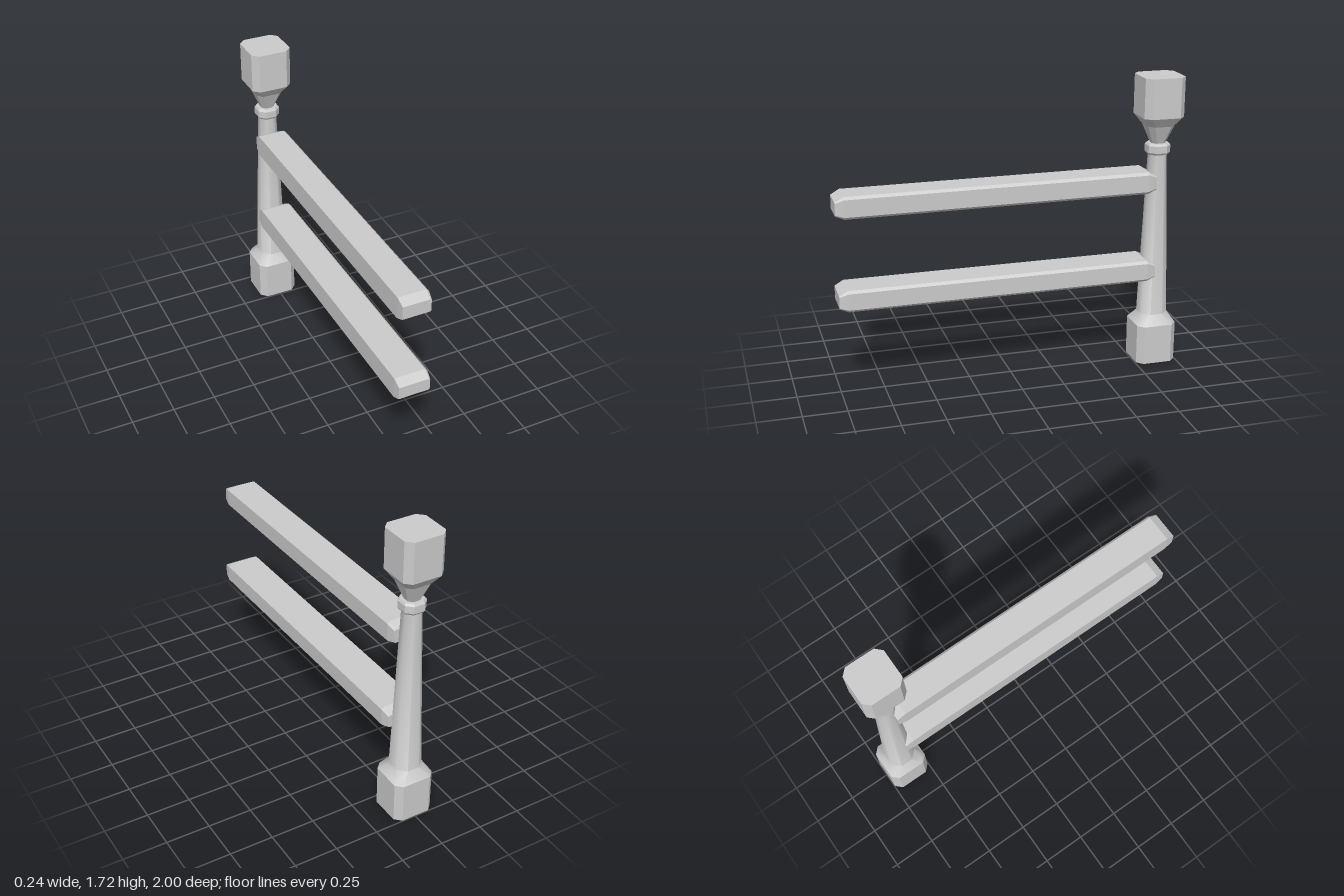
import * as THREE from 'three';
import { toCreasedNormals } from 'three/addons/utils/BufferGeometryUtils.js';

const flatGrey = new THREE.MeshStandardMaterial({ color: 0xcccccc, flatShading: true });
const smoothGrey = new THREE.MeshStandardMaterial({ color: 0xcccccc });

// Skin a closed solid through rings of points, capping both ends
function loft(rings) {
  const n = rings[0].length;
  const index = [];
  for (let r = 0; r < rings.length - 1; r++) {
    for (let i = 0; i < n; i++) {
      const j = (i + 1) % n;
      const a = r * n + i, b = r * n + j;
      index.push(a, a + n, b, b, a + n, b + n);
    }
  }
  const last = (rings.length - 1) * n;
  for (let i = 1; i < n - 1; i++) {
    index.push(0, i, i + 1, last, last + i + 1, last + i);
  }
  const geometry = new THREE.BufferGeometry();
  geometry.setAttribute('position', new THREE.Float32BufferAttribute(rings.flat(2), 3));
  geometry.setIndex(index);
  geometry.computeVertexNormals();
  return geometry;
}

// Square ring with cut corners: height y, half width h, corner cut c
function postRing([y, h, c]) {
  const k = h - c;
  return [[h, k], [k, h], [-k, h], [-h, k], [-h, -k], [-k, -h], [k, -h], [h, -k]]
    .map(([x, z]) => [x, y, z]);
}

// Rail section: square left-hand edges unlike the cut ones on the +x side
function railRing(z, x0, x1, y0, y1, c) {
  const skew = 0.005 * z; // the rails run slightly askew
  return [[x0, y1], [x1 - c, y1], [x1, y1 - c], [x1, y0 + c], [x1 - c, y0], [x0, y0]]
    .map(([x, y]) => [x + skew, y, z]);
}

function addMesh(parent, name, geometry, material = flatGrey) {
  const mesh = new THREE.Mesh(geometry, material);
  mesh.name = name;
  parent.add(mesh);
}

export function createModel() {
  const model = new THREE.Group();
  model.name = 'fenceSection';

  // Turned post, bottom to top
  const post = new THREE.Group();
  post.name = 'post';
  post.position.set(-0.003, 0, -0.877);
  model.add(post);

  const section = (rows) => loft(rows.map(postRing));
  addMesh(post, 'postBase', section([[0, 0.12, 0.036], [0.235, 0.12, 0.036]]));
  addMesh(post, 'postShaft', toCreasedNormals(section([
    [0.235, 0.12, 0.036], [0.295, 0.082, 0.046], [1.28, 0.05, 0.029],
  ]), 0.9), smoothGrey);
  addMesh(post, 'postCollar', section([
    [1.265, 0.058, 0.031], [1.277, 0.066, 0.034], [1.318, 0.066, 0.034], [1.33, 0.058, 0.031],
  ]));
  addMesh(post, 'postNeck', section([
    [1.32, 0.036, 0.02], [1.435, 0.08, 0.03], [1.49, 0.12, 0.036],
  ]));
  addMesh(post, 'postHead', section([[1.49, 0.12, 0.036], [1.72, 0.12, 0.036]]));

  // Two rails with bevelled ends
  for (const [name, y0, y1, x1] of [['lowerRail', 0.52, 0.645, 0.11], ['upperRail', 1.047, 1.175, 0.091]]) {
    const x0 = -0.087;
    const end = (z) => railRing(z, x0 + 0.004, x1 - 0.01, y0 + 0.022, y1 - 0.028, 0.006);
    const full = (z) => railRing(z, x0, x1, y0, y1, 0.015);
    addMesh(model, name, loft([end(-0.85), full(-0.8), full(0.95), end(1)]));
  }

  return model;
}
